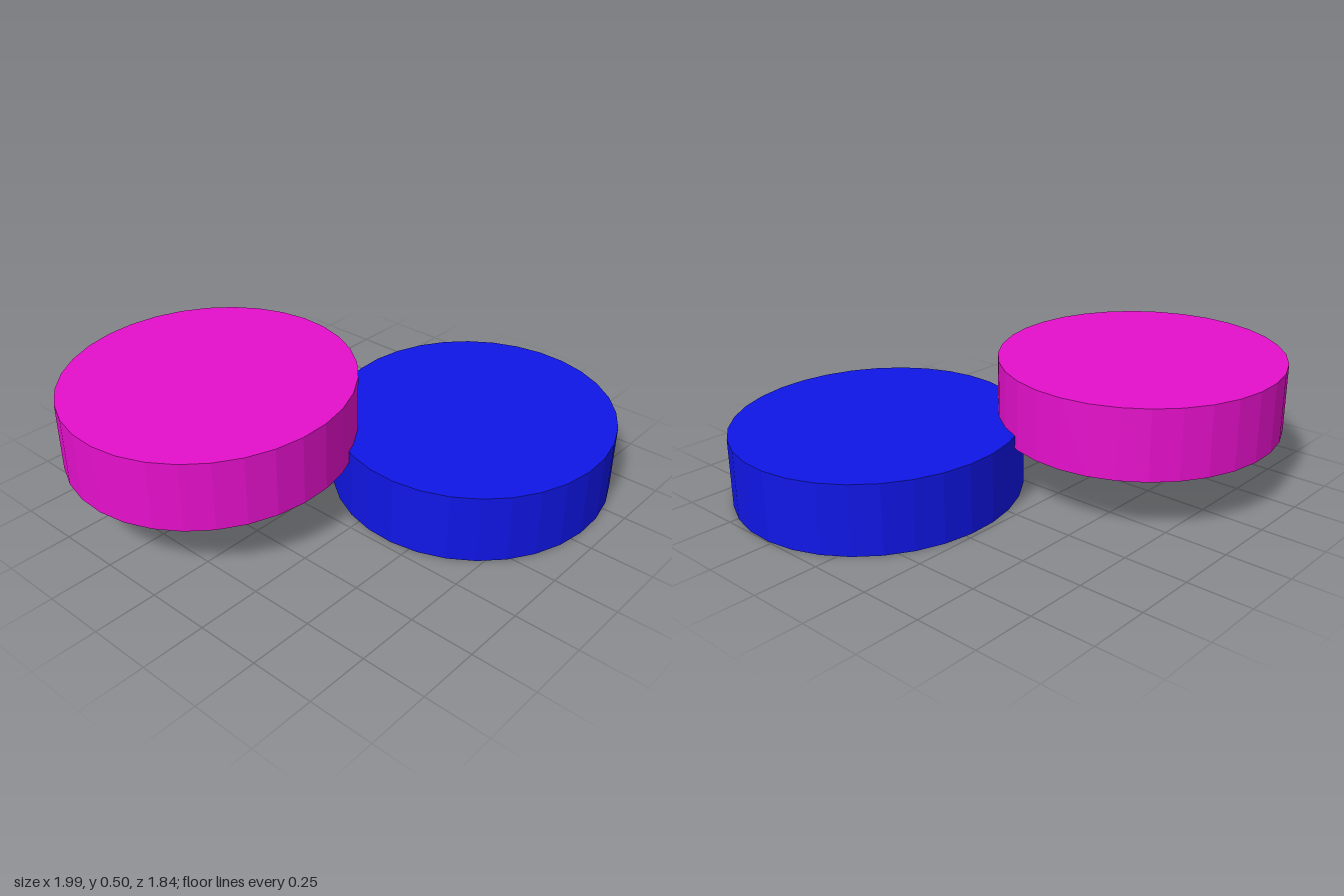
import * as THREE from 'three';

const HEIGHT = 0.275, RECESS = 0.05, INNER = 0.75, SIDES = 32;

// Slightly oval puck with a round recess and a grey pad underneath
function createPuck(name, color, x, y, z) {
  const puck = new THREE.Group();
  puck.name = name;

  const profile = [
    [INNER, RECESS], [INNER, 0], [1, 0], [1, HEIGHT], [0, HEIGHT],
  ].map(([r, h]) => new THREE.Vector2(r, h));
  const shell = new THREE.Mesh(
    new THREE.LatheGeometry(profile, SIDES),
    new THREE.MeshStandardMaterial({ color, flatShading: true }),
  );
  shell.name = name + 'Shell';

  // Pad that closes the recess, facing down
  const pad = new THREE.Mesh(
    new THREE.CircleGeometry(INNER, SIDES).rotateX(Math.PI / 2),
    new THREE.MeshStandardMaterial({ color: 0xcccccc }),
  );
  pad.name = name + 'Pad';
  pad.position.y = RECESS;

  puck.add(shell, pad);
  puck.scale.set(0.62, 1, 0.565);
  puck.rotation.y = THREE.MathUtils.degToRad(28);
  puck.position.set(x, y, z);
  return puck;
}

export function createModel() {
  const model = new THREE.Group();
  model.name = 'pucks';
  model.add(
    createPuck('lowerPuck', 0x1016e6, 0.39, 0, 0.345),
    createPuck('upperPuck', 0xe610cc, -0.39, 0.225, -0.345),
  );
  return model;
}
